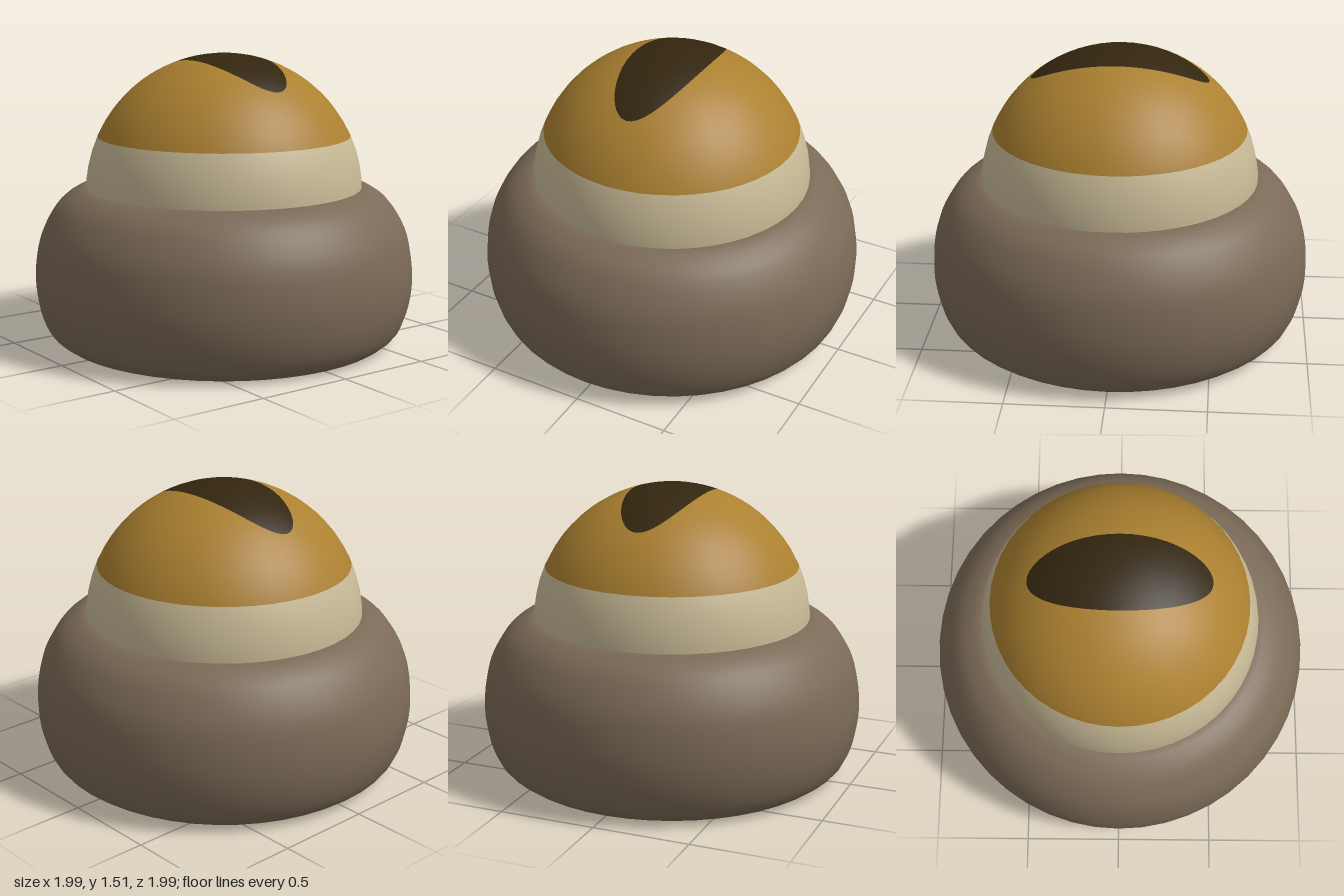
import * as THREE from 'three';

const RADIUS = 0.727, CENTRE_Y = 0.78, SEGMENTS = 48;
const IRIS_ANGLE = Math.acos(0.3 / RADIUS);
const IRIS_RADIUS = RADIUS * Math.sin(IRIS_ANGLE);
const PUPIL_X = 0.2, PUPIL_Z = 0.46;

function material(name, color, side = THREE.FrontSide) {
  const m = new THREE.MeshStandardMaterial({ color, side });
  m.name = name;
  return m;
}

// Patch of the eyeball's top between two ellipses, given by their x and z radii
function ballPatch(inner, outer, steps) {
  const positions = [], normals = [], index = [];
  for (let j = 0; j <= steps; j++) {
    const rx = THREE.MathUtils.lerp(inner[0], outer[0], j / steps);
    const rz = THREE.MathUtils.lerp(inner[1], outer[1], j / steps);
    for (let i = 0; i <= SEGMENTS; i++) {
      const a = (i / SEGMENTS) * Math.PI * 2;
      const x = rx * Math.cos(a), z = rz * Math.sin(a);
      const y = Math.sqrt(RADIUS * RADIUS - x * x - z * z);
      positions.push(x, y, z);
      normals.push(x / RADIUS, y / RADIUS, z / RADIUS);
    }
  }
  const row = SEGMENTS + 1;
  for (let j = 0; j < steps; j++) {
    for (let i = 0; i < SEGMENTS; i++) {
      const a = j * row + i, b = a + 1, c = a + row, d = c + 1;
      index.push(a, b, c, b, d, c);
    }
  }
  const g = new THREE.BufferGeometry();
  g.setAttribute('position', new THREE.Float32BufferAttribute(positions, 3));
  g.setAttribute('normal', new THREE.Float32BufferAttribute(normals, 3));
  g.setIndex(index);
  return g;
}

export function createModel() {
  const model = new THREE.Group();
  model.name = 'eyeInSocket';
  const add = (parent, name, geometry, mat) => {
    const mesh = new THREE.Mesh(geometry, mat);
    mesh.name = name;
    parent.add(mesh);
  };

  // Eyeball: cream lower part, amber iris cap, slit pupil
  const eyeball = new THREE.Group();
  eyeball.name = 'eyeball';
  eyeball.position.y = CENTRE_Y;
  model.add(eyeball);
  add(eyeball, 'eyeWhite',
    new THREE.SphereGeometry(RADIUS, SEGMENTS, 18, 0, Math.PI * 2, IRIS_ANGLE, Math.PI - IRIS_ANGLE),
    material('cream', 0xc8ba96));
  add(eyeball, 'iris', ballPatch([PUPIL_X, PUPIL_Z], [IRIS_RADIUS, IRIS_RADIUS], 10),
    material('amber', 0xab8030));
  add(eyeball, 'pupil', ballPatch([0, 0], [PUPIL_X, PUPIL_Z], 6),
    material('darkBrown', 0x33260f));

  // Socket: bulging open shell around the lower half of the eyeball
  const profile = new THREE.SplineCurve([
    [0.845, 0], [0.875, 0.015], [0.935, 0.07], [0.98, 0.19], [0.997, 0.34],
    [0.98, 0.5], [0.94, 0.62], [0.86, 0.74], [0.76, 0.805], [0.7, 0.812],
  ].map(([r, y]) => new THREE.Vector2(r, y)));
  add(model, 'socket', new THREE.LatheGeometry(profile.getPoints(27), SEGMENTS),
    material('brown', 0x7b6a57, THREE.DoubleSide));

  return model;
}
